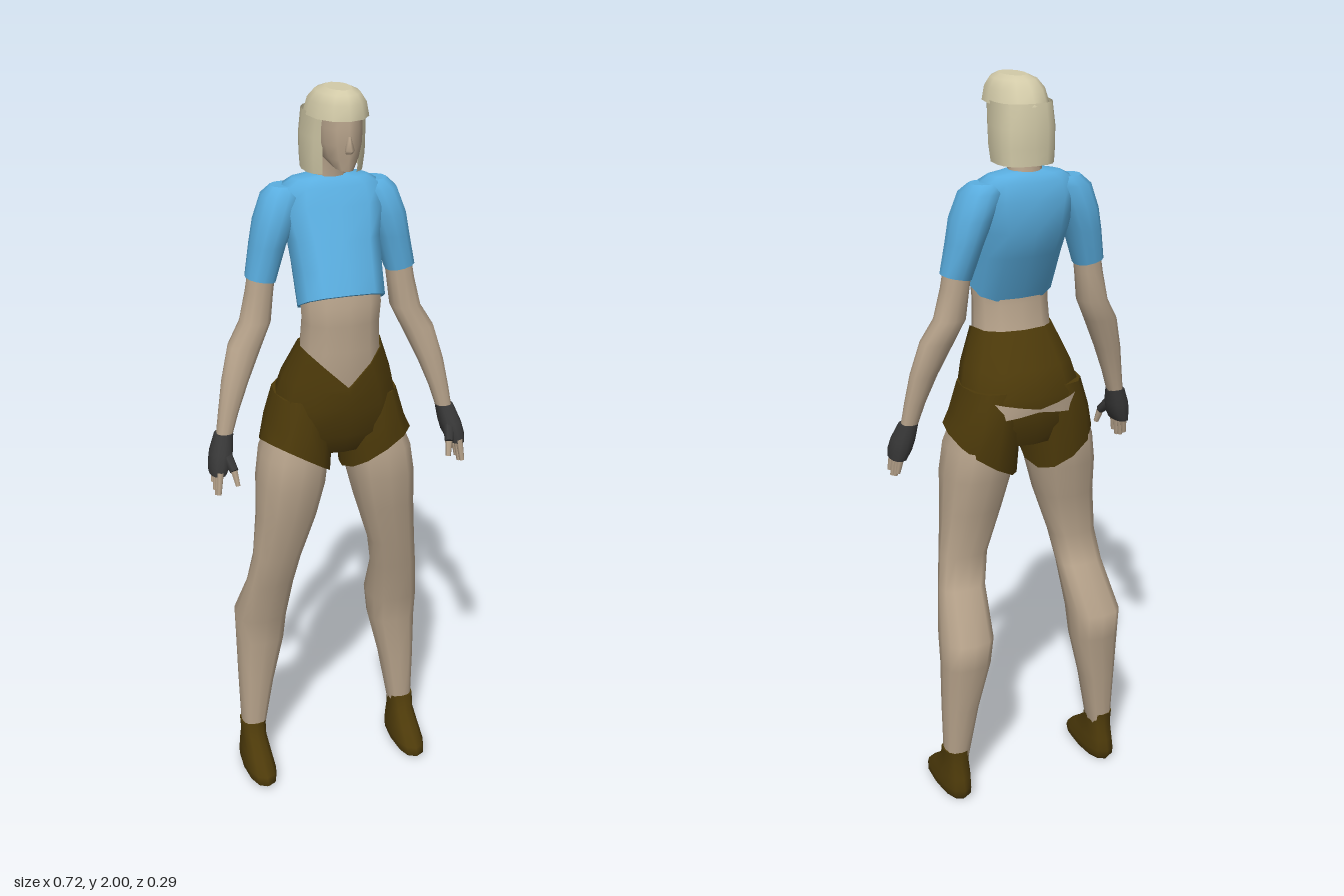
import * as THREE from 'three';

const material = (color) => new THREE.MeshStandardMaterial({ color, side: THREE.DoubleSide, roughness: 0.9 });

// Ring: [y or y(x, z), centre x, half width, front z, back z]; e < 1 makes it boxier.
function ringPoint([y, cx, rx, zf, zb], t, e) {
  const bend = (v) => Math.sign(v) * Math.abs(v) ** e;
  const x = cx + rx * bend(Math.sin(t));
  const z = (zf + zb) / 2 + ((zf - zb) / 2) * bend(Math.cos(t));
  return [x, typeof y === 'function' ? y(x, z) : y, z];
}

// Skin a stack of rings, listed from top to bottom; an arc leaves it open.
function loft(name, mat, rings, { side = 1, e = 0.85, n = 12, arc = null } = {}) {
  const collapse = ([y, cx, , zf, zb]) => [y, cx, 0, (zf + zb) / 2, (zf + zb) / 2];
  const first = rings[0], last = rings[rings.length - 1];
  const stack = arc ? rings : [collapse(first), first, ...rings, last, collapse(last)];
  const [t0, t1] = arc || [0, Math.PI * 2];
  const cols = arc ? n + 1 : n;
  const pos = [], idx = [];
  for (const r of stack)
    for (let j = 0; j < cols; j++) {
      const [x, y, z] = ringPoint(r, t0 + ((t1 - t0) * j) / n, e);
      pos.push(x * side, y, z);
    }
  for (let i = 0; i < stack.length - 1; i++)
    for (let j = 0; j < n; j++) {
      const k = (j + 1) % cols;
      const a = i * cols + j, b = i * cols + k, c = a + cols, d = b + cols;
      if (side > 0) idx.push(a, c, b, b, c, d);
      else idx.push(a, b, c, b, d, c);
    }
  const g = new THREE.BufferGeometry();
  g.setAttribute('position', new THREE.Float32BufferAttribute(pos, 3));
  g.setIndex(idx);
  g.computeVertexNormals();
  const mesh = new THREE.Mesh(g, mat);
  mesh.name = name;
  return mesh;
}

// Tapered rod between two points
function rod(name, mat, from, to, r0, r1) {
  const a = new THREE.Vector3(...from), b = new THREE.Vector3(...to);
  const mesh = new THREE.Mesh(new THREE.CylinderGeometry(r1, r0, a.distanceTo(b), 6), mat);
  mesh.position.copy(a).lerp(b, 0.5);
  mesh.quaternion.setFromUnitVectors(new THREE.Vector3(0, 1, 0), b.clone().sub(a).normalize());
  mesh.name = name;
  return mesh;
}

export function createModel() {
  const model = new THREE.Group();
  model.name = 'standingWoman';
  const skin = material(0xb8a48c), blue = material(0x5aaee0), brown = material(0x4d3a0a);
  const blond = material(0xd2caa8), dark = material(0x383838);

  // Head: face, nose, neck
  model.add(
    loft('face', skin, [
      [1.96, 0, 0.056, 0.122, -0.05],
      [1.91, 0, 0.057, 0.13, -0.06],
      [1.87, 0, 0.055, 0.128, -0.05],
      [1.835, 0, 0.045, 0.125, -0.03],
      [(x, z) => 1.825 - 0.15 * z, 0, 0.028, 0.122, 0.02],
    ], { e: 1 }),
    loft('nose', skin, [
      [1.895, 0, 0.005, 0.132, 0.11],
      [1.862, 0, 0.012, 0.146, 0.11],
      [1.852, 0, 0.009, 0.132, 0.11],
    ], { n: 6, e: 1 }),
    loft('neck', skin, [
      [1.86, 0, 0.038, 0.03, -0.06],
      [1.8, 0, 0.038, 0.01, -0.065],
      [1.74, 0, 0.05, 0.01, -0.075],
    ]),
  );

  // Bobbed hair: crown with fringe, and a curtain open around the face
  const gap = 0.52;
  model.add(
    loft('hairCrown', blond, [
      [2.0, 0, 0.032, 0.095, -0.015],
      [1.99, 0, 0.053, 0.115, -0.045],
      [1.968, 0, 0.069, 0.128, -0.07],
      [1.932, 0, 0.077, 0.134, -0.087],
    ], { e: 0.95 }),
    loft('hairCurtain', blond, [
      [1.94, 0, 0.076, 0.085, -0.084],
      [1.88, 0, 0.08, 0.074, -0.092],
      [1.83, 0, 0.08, 0.068, -0.09],
      [1.787, 0, 0.076, 0.06, -0.09],
    ], { arc: [gap, Math.PI * 2 - gap], n: 14, e: 0.75 }),
  );

  // Bare midriff and cropped shirt
  model.add(
    loft('midriff', skin, [
      [1.52, 0, 0.105, 0.12, -0.02],
      [1.46, 0, 0.108, 0.136, -0.01],
      [1.41, 0, 0.104, 0.135, -0.015],
      [1.34, 0, 0.107, 0.132, -0.025],
      [1.25, 0, 0.12, 0.132, -0.05],
      [1.15, 0, 0.13, 0.11, -0.08],
    ]),
    loft('shirtBody', blue, [
      [1.772, 0, 0.05, 0.005, -0.066],
      [1.763, 0, 0.1, 0.016, -0.078],
      [1.745, 0, 0.132, 0.03, -0.09],
      [1.7, 0, 0.14, 0.052, -0.103],
      [1.62, 0, 0.122, 0.09, -0.102],
      [1.55, 0, 0.117, 0.121, -0.07],
      [(x, z) => 1.425 + 0.5 * z, 0, 0.115, 0.143, -0.01],
    ], { e: 0.75 }),
  );

  // Shorts with a dipped front waistband and a torn strip across the seat
  const dip = (top, depth, rx) => (x, z) => top - (z > 0.05 ? depth * (1 - Math.abs(x) / rx) : 0);
  model.add(
    loft('shortsHips', brown, [
      [dip(1.345, 0.105, 0.11), 0, 0.112, 0.138, -0.032],
      [dip(1.25, 0.03, 0.152), 0, 0.15, 0.141, -0.09],
      [1.18, 0, 0.168, 0.136, -0.12],
      [1.1, 0, 0.183, 0.125, -0.11],
      [1.04, 0, 0.13, 0.09, -0.085],
    ]),
    loft('tornStrip', skin, [
      [(x) => 1.152 + 0.2 * Math.abs(x), 0, 0.173, 0.135, -0.124],
      [(x) => 1.144 - 0.15 * Math.abs(x), 0, 0.179, 0.13, -0.122],
    ], { arc: [Math.PI * 0.67, Math.PI * 1.33], n: 8 }),
  );

  for (const side of [1, -1]) {
    const limb = new THREE.Group();
    limb.name = side > 0 ? 'leftLimbs' : 'rightLimbs';
    const opt = { side };
    limb.add(
      loft('shortsLeg', brown, [
        [1.2, 0.09, 0.075, 0.11, -0.1],
        [1.12, 0.101, 0.087, 0.124, -0.113],
        [(x, z) => 1.015 + 0.6 * (x - 0.115) + 0.25 * z, 0.114, 0.092, 0.122, -0.098],
      ], opt),
      loft('leg', skin, [
        [1.1, 0.105, 0.075, 0.1, -0.085],
        [1.03, 0.117, 0.09, 0.114, -0.092],
        [0.95, 0.128, 0.091, 0.112, -0.082],
        [0.85, 0.142, 0.081, 0.093, -0.058],
        [0.72, 0.168, 0.067, 0.062, -0.037],
        [0.63, 0.183, 0.066, 0.038, -0.055],
        [0.5, 0.198, 0.072, 0.004, -0.14],
        [0.42, 0.201, 0.068, -0.01, -0.128],
        [0.28, 0.217, 0.05, -0.016, -0.11],
        [0.1, 0.231, 0.031, -0.023, -0.093],
      ], { side, e: 0.75 }),
      loft('shoe', brown, [
        [0.145, 0.231, 0.037, -0.016, -0.099],
        [0.105, 0.231, 0.035, 0.0, -0.1],
        [0.065, 0.231, 0.04, 0.05, -0.115],
        [0.032, 0.231, 0.044, 0.095, -0.122],
        [0.012, 0.231, 0.043, 0.106, -0.12],
        [0, 0.231, 0.036, 0.09, -0.11],
      ], opt),
      loft('sleeve', blue, [
        [1.748, 0.11, 0.045, 0.0, -0.07],
        [1.725, 0.125, 0.055, 0.025, -0.09],
        [1.66, 0.15, 0.053, 0.036, -0.092],
        [1.6, 0.168, 0.046, 0.03, -0.085],
        [(x) => 1.51 + 0.2 * (x - 0.19), 0.191, 0.039, 0.022, -0.063],
      ], opt),
      loft('arm', skin, [
        [1.57, 0.18, 0.035, 0.015, -0.06],
        [1.48, 0.194, 0.036, 0.018, -0.058],
        [1.4, 0.208, 0.041, 0.024, -0.056],
        [1.34, 0.24, 0.045, 0.032, -0.044],
        [1.25, 0.273, 0.036, 0.042, -0.022],
        [1.17, 0.296, 0.027, 0.046, -0.004],
        [1.09, 0.315, 0.02, 0.05, 0.008],
      ], opt),
      loft('glove', dark, [
        [1.115, 0.312, 0.025, 0.055, 0.002],
        [1.07, 0.324, 0.03, 0.078, 0.002],
        [1.04, 0.331, 0.029, 0.088, 0.006],
        [1.015, 0.338, 0.022, 0.09, 0.012],
      ], opt),
      rod('thumbSleeve', dark, [side * 0.315, 1.065, 0.06], [side * 0.303, 1.03, 0.094], 0.016, 0.012),
      rod('thumb', skin, [side * 0.303, 1.03, 0.093], [side * 0.297, 0.992, 0.106], 0.01, 0.007),
    );
    // Four fingers
    for (let i = 0; i < 4; i++) {
      const z = 0.022 + i * 0.02, tip = [0.978, 0.964, 0.958, 0.966][i];
      limb.add(rod('finger', skin, [side * 0.338, 1.025, z], [side * 0.345, tip, z + 0.008], 0.01, 0.007));
    }
    model.add(limb);
  }
  return model;
}
